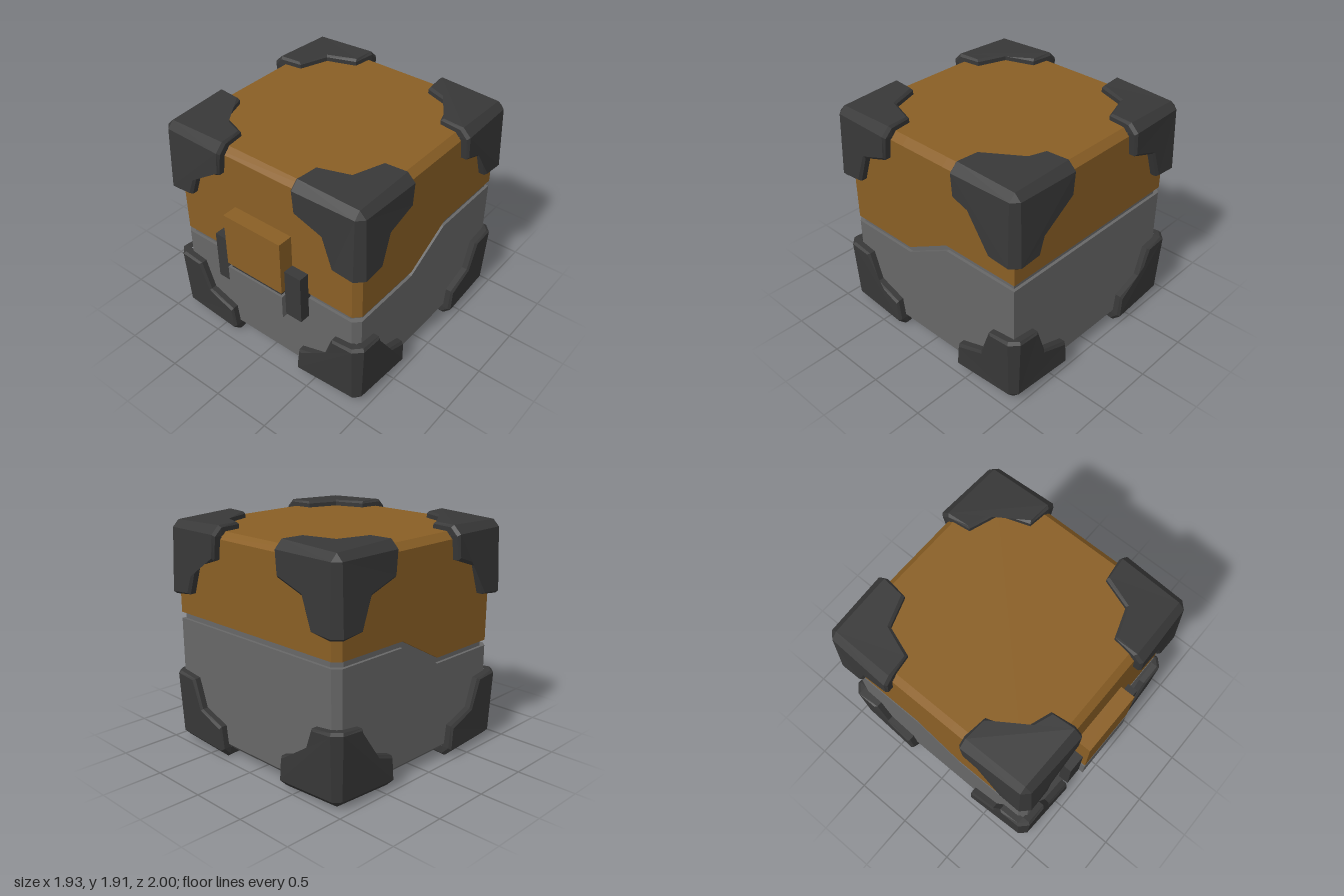
import * as THREE from 'three';

const mat = (name, color) => {
  const m = new THREE.MeshStandardMaterial({ color });
  m.name = name;
  return m;
};

// Flat-faced geometry from convex (or fan-friendly) polygons
function polyGeometry(polys) {
  const pos = [];
  const a = new THREE.Vector3(), b = new THREE.Vector3(), c = new THREE.Vector3();
  for (const p of polys) {
    for (let i = 1; i < p.length - 1; i++) {
      a.fromArray(p[0]); b.fromArray(p[i]); c.fromArray(p[i + 1]);
      const area = b.clone().sub(a).cross(c.clone().sub(a)).length();
      if (area > 1e-7) pos.push(...p[0], ...p[i], ...p[i + 1]);
    }
  }
  const g = new THREE.BufferGeometry();
  g.setAttribute('position', new THREE.Float32BufferAttribute(pos, 3));
  g.computeVertexNormals();
  return g;
}

// Sloped seam: low at the front, high at the back
const HALF = 0.9, Z_LOW = 0.215, Z_HIGH = -0.21;
const flat = (y) => () => y;
const seam = (low, high) => (z) => (z >= Z_LOW ? low : high);

// Footprint of the case: three bevelled corners, one square one
function ring(inset, k, yAt) {
  const h = HALF - inset;
  return [
    [-h + k, h], [h - k, h], [h, h - k], [h, Z_LOW], [h, Z_HIGH], [h, -h],
    [-h + k, -h], [-h, -h + k], [-h, Z_HIGH], [-h, Z_LOW], [-h, h - k],
  ].map(([x, z]) => [x, yAt(z), z]);
}

function loft(rings, capBottom, capTop) {
  const polys = [];
  for (let r = 0; r < rings.length - 1; r++) {
    const a = rings[r], b = rings[r + 1];
    a.forEach((p, i) => {
      const j = (i + 1) % a.length;
      polys.push([p, a[j], b[j], b[i]]);
    });
  }
  if (capBottom) polys.push([...rings[0]].reverse());
  if (capTop) polys.push(rings[rings.length - 1]);
  return polyGeometry(polys);
}

// Three-armed corner guard for the corner with the given signs
function guardGeometry(sx, sy, sz) {
  const outer = [[0.36, 0.9, 0.967], [0.375, 0.715, 0.967], [0.625, 0.625, 0.962],
    [0.715, 0.375, 0.967], [0.9, 0.36, 0.967]];
  const mid = [[0.34, 0.885, 0.948], [0.365, 0.695, 0.948], [0.61, 0.61, 0.948],
    [0.695, 0.365, 0.948], [0.885, 0.34, 0.948]];
  const base = mid.map(([u, v]) => [u, v, 0.885]);
  const tip = [0.89, 0.89, 0.945];
  const turn = ([a, b, c]) => [c, a, b];

  // One face, its walls, one bevelled edge and one arm end
  const polys = [[tip, ...outer]];
  for (let i = 0; i < 4; i++) {
    polys.push([mid[i], mid[i + 1], outer[i + 1], outer[i]]);
    polys.push([base[i], base[i + 1], mid[i + 1], mid[i]]);
  }
  const nextOuter = turn(outer[0]), nextMid = turn(mid[0]);
  polys.push([outer[4], nextOuter, turn(tip), tip]);
  polys.push([mid[4], nextMid, nextOuter, outer[4]]);
  polys.push([base[4], nextMid, mid[4]]);

  // Repeat around the corner diagonal, then mirror
  const all = [[tip, turn(tip), turn(turn(tip))]];
  for (const p of polys) all.push(p, p.map(turn), p.map((q) => turn(turn(q))));
  const flip = sx * sy * sz < 0;
  return polyGeometry(all.map((p) => {
    const q = p.map(([x, y, z]) => [x * sx, y * sy * 0.99, z * sz]);
    return flip ? q.reverse() : q;
  }));
}

export function createModel() {
  const model = new THREE.Group();
  model.name = 'crate';
  const gold = mat('golden brown', 0x8a5f25);
  const grey = mat('mid grey', 0x676767);
  const dark = mat('dark grey', 0x383838);

  const add = (name, geometry, material, x = 0, y = 0, z = 0) => {
    const mesh = new THREE.Mesh(geometry, material);
    mesh.name = name;
    mesh.position.set(x, y, z);
    model.add(mesh);
    return mesh;
  };
  const box = (name, material, x0, x1, y0, y1, z0, z1) =>
    add(name, new THREE.BoxGeometry(x1 - x0, y1 - y0, z1 - z0), material,
      (x0 + x1) / 2, (y0 + y1) / 2, (z0 + z1) / 2);

  // Case: base with recessed lip, and lid
  const bevel = 0.055, lip = 0.025, backShift = -0.03;
  const baseSeam = seam(0.838, 1.07), lidSeam = seam(0.887, 1.122);
  add('base', loft([
    ring(bevel, 0, flat(0.055)),
    ring(0, bevel, flat(0.11)),
    ring(0, bevel, baseSeam),
    ring(lip, 0.065, baseSeam),
    ring(lip, 0.065, lidSeam),
  ], true, false), grey, 0, 0, backShift);
  add('lid', loft([
    ring(lip, 0.065, lidSeam),
    ring(0, bevel, lidSeam),
    ring(0, bevel, flat(1.806)),
    ring(bevel, 0, flat(1.861)),
  ], false, true), gold, 0, 0, backShift);

  // Corner guards
  for (const sx of [-1, 1]) for (const sy of [-1, 1]) for (const sz of [-1, 1]) {
    const name = `${sy > 0 ? 'top' : 'bottom'}${sz > 0 ? 'Front' : 'Back'}${sx > 0 ? 'Left' : 'Right'}Guard`;
    add(name, guardGeometry(sx, sy, sz), dark, 0, 0.957, backShift);
  }

  // Latch on the front
  box('latchUpper', gold, -0.28, 0.28, 0.887, 1.36, 0.84, 1);
  box('latchLower', grey, -0.28, 0.28, 0.635, 0.847, 0.84, 1);
  box('latchCore', dark, -0.258, 0.258, 0.84, 0.895, 0.84, 0.98);
  for (const s of [-1, 1]) {
    box(s > 0 ? 'latchBracketLeft' : 'latchBracketRight', dark,
      s * 0.355 - 0.078, s * 0.355 + 0.078, 0.65, 1.08, 0.84, 0.96);
  }
  return model;
}
